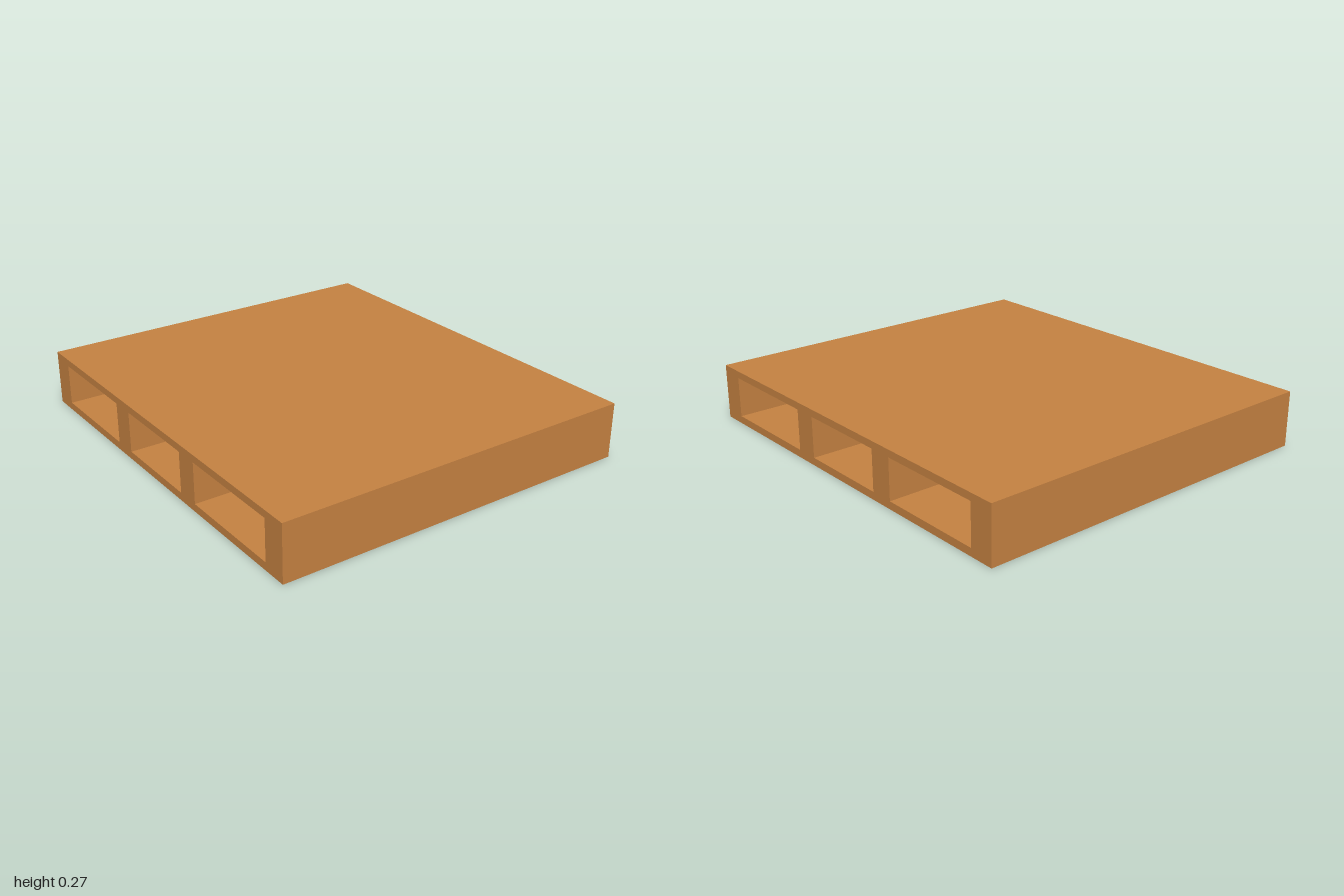
import * as THREE from 'three';

export function createModel() {
  const model = new THREE.Group();
  model.name = 'pallet';

  const wood = new THREE.MeshStandardMaterial({ color: 0xc48141 });
  wood.name = 'wood';

  const width = 1.78, height = 0.268, deckBottom = 0.037, deckTop = 0.233;

  // Full-width board spanning the given y and z ranges
  function board(name, y0, y1, z0, z1) {
    const mesh = new THREE.Mesh(new THREE.BoxGeometry(width, y1 - y0, z1 - z0), wood);
    mesh.name = name;
    mesh.position.set(0, (y0 + y1) / 2, (z0 + z1) / 2);
    model.add(mesh);
  }

  // Decks
  board('bottomDeck', 0, deckBottom, -1, 1);
  board('topDeck', deckTop, height, -1, 1);

  // Stringers between the decks, leaving three open channels
  const stringers = [
    ['backStringer', -1, -0.88],
    ['innerBackStringer', -0.355, -0.237],
    ['innerFrontStringer', 0.224, 0.341],
    ['frontStringer', 0.882, 1],
  ];
  for (const [name, z0, z1] of stringers) board(name, deckBottom, deckTop, z0, z1);

  return model;
}
